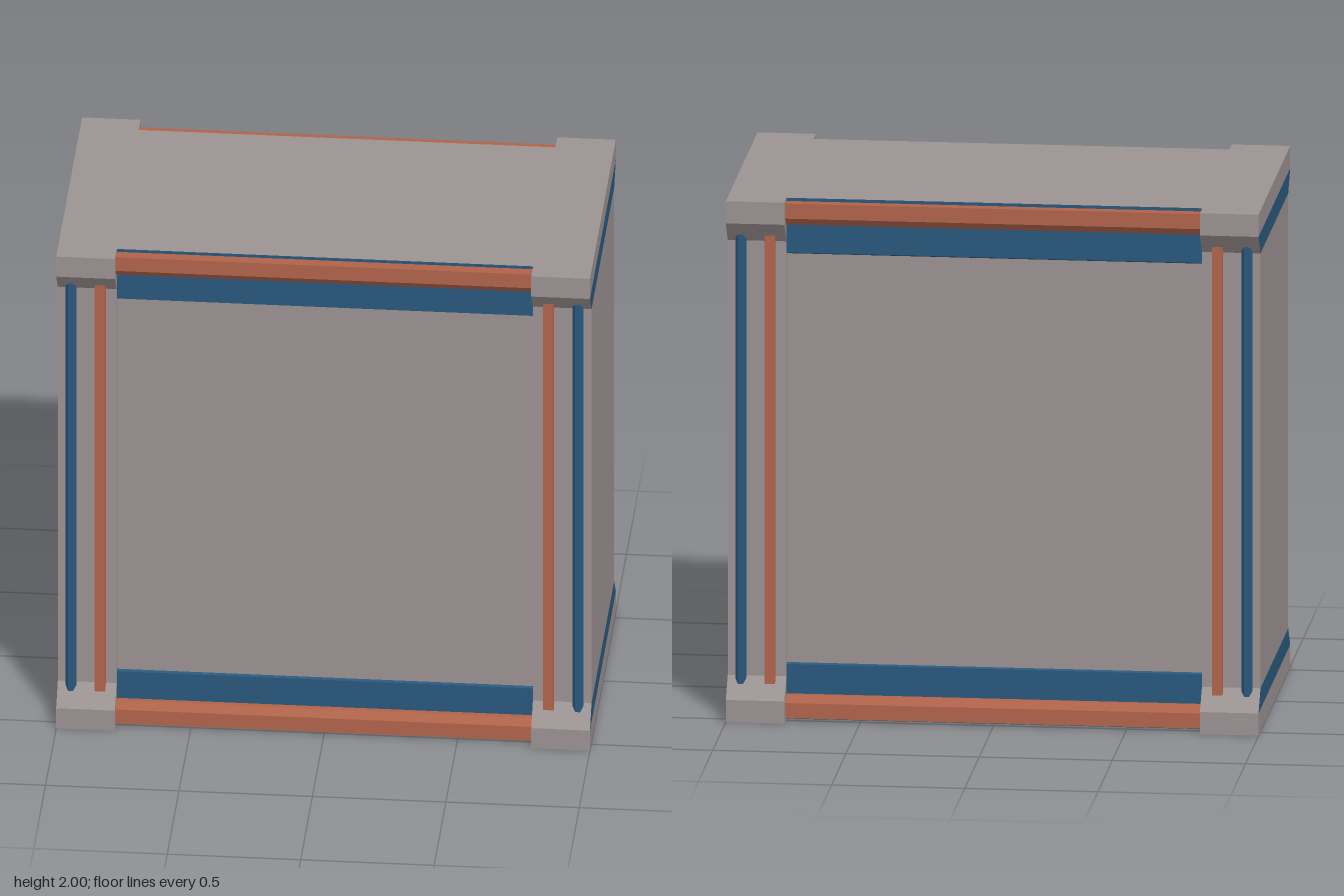
import * as THREE from 'three';

const mat = (name, color) => {
  const m = new THREE.MeshStandardMaterial({ color, side: THREE.DoubleSide });
  m.name = name;
  return m;
};

// heights and depths shared by the wall sections
const POST = [[0, 0.55], [0.085, 0.55], [0.165, 0.48], [1.835, 0.48], [1.915, 0.55], [2, 0.55]];
const INNER = 0.78, WALL = 0.47, PANEL = 0.46;

// open sheet: a [y, z] profile swept from x0 to x1, facing +z
function sheet(profile, x0, x1) {
  const pos = [];
  for (let i = 0; i < profile.length - 1; i++) {
    const [ya, za] = profile[i], [yb, zb] = profile[i + 1];
    pos.push(x0, ya, za, x1, ya, za, x1, yb, zb, x0, ya, za, x1, yb, zb, x0, yb, zb);
  }
  const g = new THREE.BufferGeometry();
  g.setAttribute('position', new THREE.Float32BufferAttribute(pos, 3));
  g.computeVertexNormals();
  return g;
}

const shapeOf = (pts) => new THREE.Shape(pts.map(([a, b]) => new THREE.Vector2(a, b)));

// flat plate at x, drawn as [z, y] points, facing dir (+1 or -1) along x
function sidePlate(pts, x, dir) {
  const g = new THREE.ShapeGeometry(shapeOf(pts.map(([z, y]) => [-dir * z, y])));
  g.rotateY(dir * Math.PI / 2);
  g.translate(x, 0, 0);
  return g;
}

// upright bar with an [x, z] section
function uprightBar(pts, y0, y1) {
  const g = new THREE.ExtrudeGeometry(shapeOf(pts.map(([x, z]) => [x, -z])), { depth: y1 - y0, bevelEnabled: false });
  g.rotateX(-Math.PI / 2);
  g.translate(0, y0, 0);
  return g;
}

// level bar with a [z, y] section, running across the front
function levelBar(pts) {
  const g = new THREE.ExtrudeGeometry(shapeOf(pts.map(([z, y]) => [-z, y])), { depth: 2 * INNER, bevelEnabled: false });
  g.rotateY(Math.PI / 2);
  g.translate(-INNER, 0, 0);
  return g;
}

export function createModel() {
  const gray = mat('wallGray', 0x9c9292);
  const blue = mat('trimBlue', 0x29587c);
  const orange = mat('trimOrange', 0xb0634a);
  const model = new THREE.Group();
  model.name = 'openBottomedCase';

  const add = (parent, name, geometry, material) => {
    const m = new THREE.Mesh(geometry, material);
    m.name = name;
    parent.add(m);
  };

  // one face and one end; turned half round for the other pair
  const buildHalf = (name) => {
    const half = new THREE.Group();
    half.name = name;

    // recessed panel and the blue bands above and below it
    add(half, 'mainPanel', sheet([[0.215, PANEL], [1.785, PANEL]], -INNER, INNER), gray);
    add(half, 'lowerBand', sheet([[0, WALL], [0.21, WALL], [0.215, PANEL]], -INNER, INNER), blue);
    add(half, 'upperBand', sheet([[1.785, PANEL], [1.79, WALL], [2, WALL]], -INNER, INNER), blue);

    // orange rails with one chamfered edge
    const rail = [[0.462, 0.012], [0.513, 0.012], [0.513, 0.07], [0.49, 0.097], [0.462, 0.097]];
    add(half, 'lowerRail', levelBar(rail), orange);
    add(half, 'upperRail', levelBar(rail.map(([z, y]) => [z, 2 - y])), orange);

    // corner posts with flared ends, inner cheeks and bars
    for (const s of [-1, 1]) {
      const x0 = Math.min(s * INNER, s), x1 = Math.max(s * INNER, s);
      add(half, 'cornerPost', sheet(POST, x0, x1), gray);
      const cheek = [...POST.map(([y, z]) => [z, y]), [PANEL, 2], [PANEL, 0]];
      add(half, 'postCheek', sidePlate(cheek, s * INNER, -s), gray);

      const c = s * 0.95, w = 0.02;
      const section = [[c - w, 0.465], [c - w, 0.49], [c - 0.009, 0.505], [c + 0.009, 0.505], [c + w, 0.49], [c + w, 0.465]];
      add(half, 'blueBar', uprightBar(section, 0.135, 1.865), blue);
      const bar = new THREE.BoxGeometry(0.04, 1.73, 0.038);
      bar.translate(s * 0.84, 1, 0.484);
      add(half, 'orangeBar', bar, orange);
    }

    // flat end wall with blue tapered bands
    add(half, 'endWall', sidePlate([[-0.48, 0.165], [0.48, 0.165], [0.48, 1.835], [-0.48, 1.835]], 1, 1), gray);
    for (const flip of [(y) => y, (y) => 2 - y]) {
      add(half, 'endCap', sidePlate([[-0.55, flip(0)], [0.55, flip(0)], [0.55, flip(0.085)], [-0.55, flip(0.085)]], 1, 1), gray);
      add(half, 'endBand', sidePlate([[-0.55, flip(0.085)], [0.55, flip(0.085)], [0.48, flip(0.165)], [-0.48, flip(0.165)]], 1, 1), blue);
    }
    return half;
  };

  const front = buildHalf('frontHalf');
  const back = buildHalf('backHalf');
  back.rotation.y = Math.PI;
  model.add(front, back);

  // top plate, notched along the front and back
  const top = new THREE.ShapeGeometry(shapeOf([
    [-1, -0.55], [-INNER, -0.55], [-INNER, -WALL], [INNER, -WALL], [INNER, -0.55], [1, -0.55],
    [1, 0.55], [INNER, 0.55], [INNER, WALL], [-INNER, WALL], [-INNER, 0.55], [-1, 0.55],
  ]));
  top.rotateX(-Math.PI / 2);
  top.translate(0, 2, 0);
  add(model, 'topPlate', top, gray);

  return model;
}
